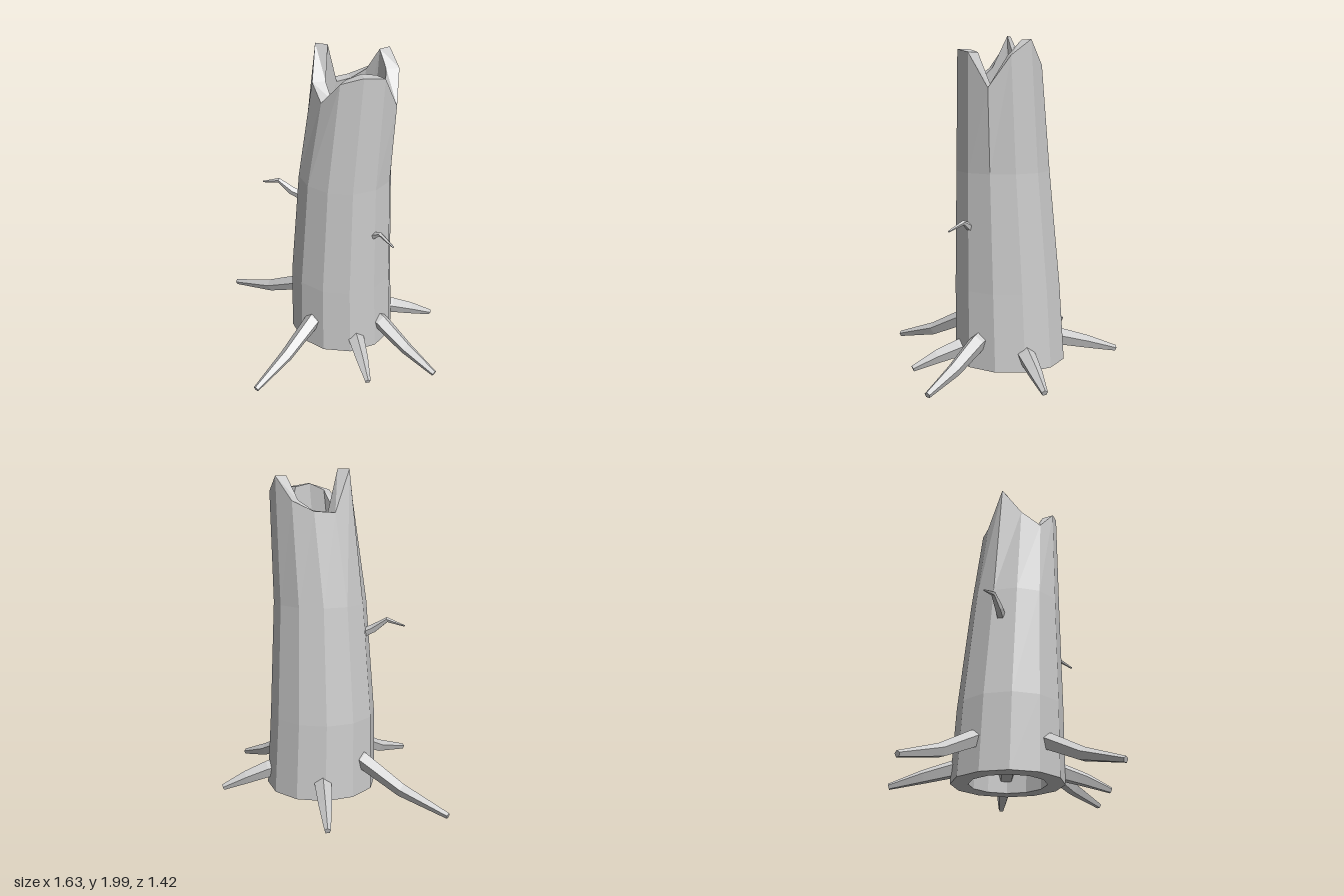
import * as THREE from 'three';

const material = new THREE.MeshStandardMaterial({ color: 0xcccccc, flatShading: true });

// Skin a list of equal-sized rings of Vector3
function loft(rings) {
  const pos = [];
  const tri = (a, b, c) => {
    const area = new THREE.Triangle(a, b, c).getArea();
    if (area > 1e-9) pos.push(...a, ...b, ...c);
  };
  for (let i = 0; i < rings.length - 1; i++) {
    const lo = rings[i], hi = rings[i + 1], n = lo.length;
    for (let j = 0; j < n; j++) {
      const k = (j + 1) % n;
      tri(lo[j], hi[j], lo[k]);
      tri(lo[k], hi[j], hi[k]);
    }
  }
  const g = new THREE.BufferGeometry();
  g.setAttribute('position', new THREE.Float32BufferAttribute(pos, 3));
  g.computeVertexNormals();
  return g;
}

// Tapered limb through points [x, y, z, radius], with closed ends
function limb(name, points, sides = 5) {
  const pts = points.map(p => new THREE.Vector3(p[0], p[1], p[2]));
  const last = pts.length - 1;
  const rings = pts.map((p, i) => {
    const dir = pts[Math.min(i + 1, last)].clone().sub(pts[Math.max(i - 1, 0)]).normalize();
    const side = dir.clone().cross(new THREE.Vector3(0, 1, 0)).normalize();
    const up = side.clone().cross(dir);
    return Array.from({ length: sides }, (_, j) => {
      const a = Math.PI / 2 + (j / sides) * Math.PI * 2, r = points[i][3];
      return p.clone().addScaledVector(side, r * Math.cos(a)).addScaledVector(up, r * Math.sin(a));
    });
  });
  const cap = p => Array.from({ length: sides }, () => p.clone());
  const mesh = new THREE.Mesh(loft([cap(pts[0]), ...rings, cap(pts[last])]), material);
  mesh.name = name;
  return mesh;
}

// Trunk sections: [y, centre x, centre z, outer radius, inner radius]
const SECTIONS = [
  [0.04, 0.04, -0.145, 0.342, 0.235],
  [0.5, 0.045, -0.128, 0.327, 0.225],
  [1.2, 0.077, -0.12, 0.287, 0.205],
  [1.9, 0.13, -0.145, 0.253, 0.175],
];
// Height of the broken rim at each of the twelve corners
const RIM = [1.89, 1.91, 1.87, 1.73, 1.81, 2.0, 1.75, 1.76, 1.82, 1.96, 1.87, 1.69];

function trunk() {
  const ring = ([y, cx, cz, ...radii], which, broken) => RIM.map((h, k) => {
    const a = (k / RIM.length) * Math.PI * 2, r = radii[which];
    return new THREE.Vector3(cx + r * Math.cos(a), broken ? h : y, cz + r * Math.sin(a));
  });
  const wall = which => SECTIONS.map((s, i) => ring(s, which, i === SECTIONS.length - 1));
  const outer = wall(0), inner = wall(1).reverse();
  const mesh = new THREE.Mesh(loft([...outer, ...inner, outer[0]]), material);
  mesh.name = 'hollowTrunk';
  return mesh;
}

// Roots: [tip x, tip z, height where it leaves the trunk]
const ROOTS = [
  [-0.81, 0.17, 0.24],
  [-0.56, -0.51, 0.13],
  [0.33, -0.70, 0.13],
  [0.81, -0.27, 0.2],
  [0.61, 0.11, 0.12],
  [0.24, 0.70, 0.23],
];

export function createModel() {
  const model = new THREE.Group();
  model.name = 'treeStump';
  model.add(trunk());

  // Roots run from the hollow out to the ground
  const roots = new THREE.Group();
  roots.name = 'roots';
  const cx = 0.05, cz = -0.15;
  ROOTS.forEach(([tx, tz, h], i) => {
    const len = Math.hypot(tx - cx, tz - cz);
    const at = (d, y, r) => [cx + (tx - cx) * d / len, y, cz + (tz - cz) * d / len, r];
    const bend = 0.34 + (len - 0.34) * 0.46;
    roots.add(limb('root' + (i + 1), [
      at(0.04, h + 0.07, 0.06), at(0.33, h, 0.054), at(bend, h * 0.25 + 0.05, 0.042), at(len, 0.023, 0.019),
    ]));
  });
  model.add(roots);

  // Dead twigs
  model.add(limb('rightTwig', [
    [-0.12, 1.0, 0.04, 0.03], [-0.18, 1.04, 0.1, 0.027], [-0.25, 1.1, 0.15, 0.016], [-0.345, 1.07, 0.208, 0.005],
  ]));
  model.add(limb('leftTwig', [
    [0.31, 0.86, -0.12, 0.028], [0.36, 0.885, -0.125, 0.024], [0.41, 0.915, -0.128, 0.014], [0.525, 0.878, -0.132, 0.006],
  ]));
  return model;
}
